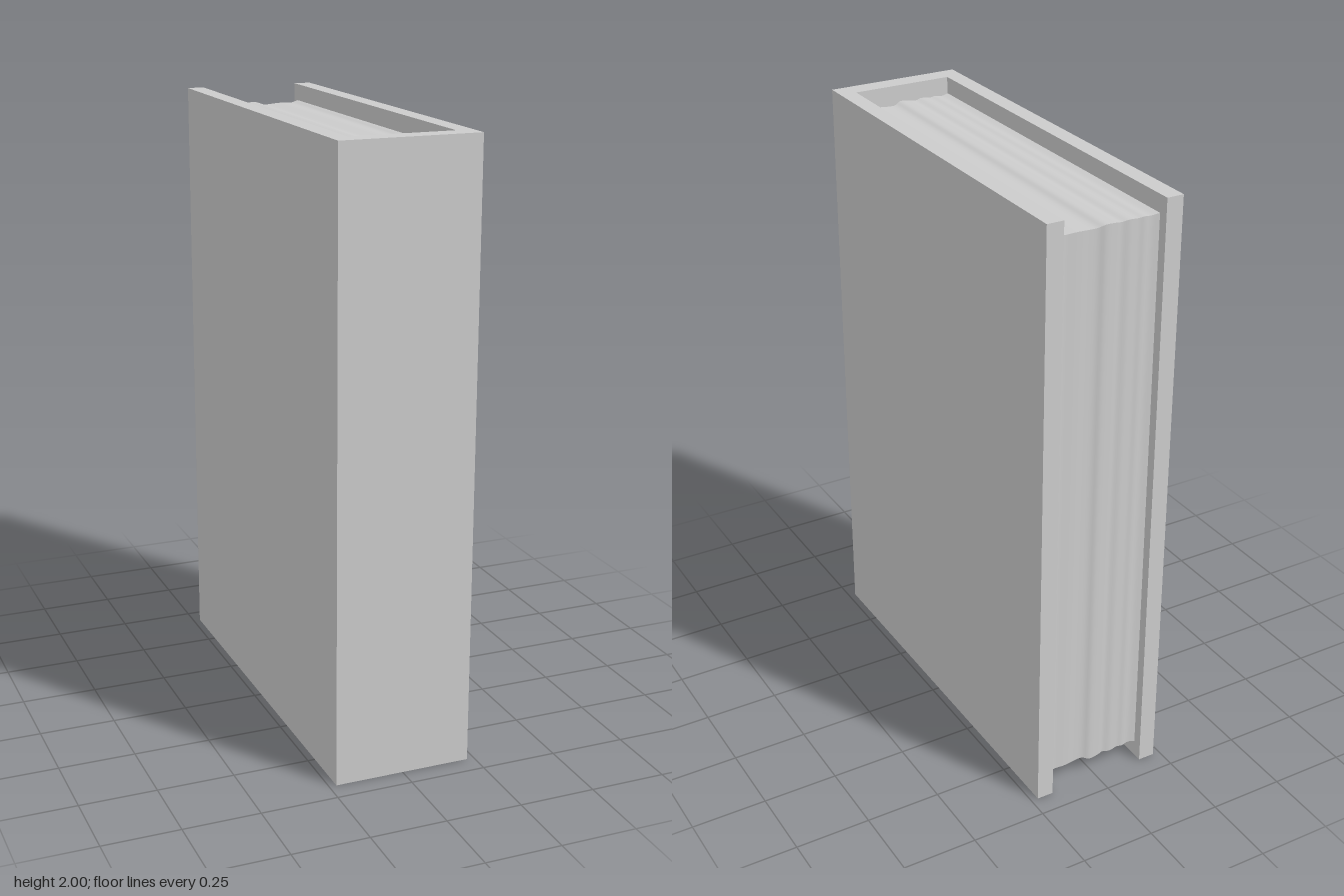
import * as THREE from 'three';

const HEIGHT = 2, HALF_W = 0.226, HALF_D = 0.68; // overall cover size
const INNER_W = 0.17, SPINE_IN = 0.614; // inside of the boards and the spine
const INSET = 0.055; // pages are shorter than the cover

// U-shaped cover: spine at the front, boards left and right
function makeCover() {
  const outline = [
    [-HALF_W, -HALF_D], [HALF_W, -HALF_D], [HALF_W, HALF_D], [INNER_W, HALF_D],
    [INNER_W, -SPINE_IN], [-INNER_W, -SPINE_IN], [-INNER_W, HALF_D], [-HALF_W, HALF_D],
  ].map(([x, y]) => new THREE.Vector2(x, y));
  const geometry = new THREE.ExtrudeGeometry(new THREE.Shape(outline), { depth: HEIGHT, bevelEnabled: false });
  return geometry.rotateX(-Math.PI / 2);
}

// Page block: a box whose top, bottom, front and back edges ripple across the thickness
function makePages() {
  const ripple = new THREE.SplineCurve([
    [-0.17, 0.001], [-0.145, 0.005], [-0.12, 0.002], [-0.1, 0.004], [-0.07, 0.001], [-0.045, 0.005],
    [-0.025, 0.002], [0.01, 0], [0.04, 0.009], [0.1, 0.006], [0.14, 0.007], [0.16, 0.003], [0.17, 0.001],
  ].map(([x, y]) => new THREE.Vector2(x, y)));
  const steps = 48;
  const samples = ripple.getPoints(steps);
  const zBack = -0.649, zFront = 0.613;
  const geometry = new THREE.BoxGeometry(2 * INNER_W, HEIGHT - 2 * INSET, zFront - zBack, steps, 1, 1);
  const pos = geometry.attributes.position;
  for (let i = 0; i < pos.count; i++) {
    const column = Math.round((pos.getX(i) / (2 * INNER_W) + 0.5) * steps);
    const { x, y: inset } = samples[column];
    pos.setXYZ(i, x,
      pos.getY(i) - Math.sign(pos.getY(i)) * inset,
      pos.getZ(i) - Math.sign(pos.getZ(i)) * inset);
  }
  geometry.computeVertexNormals();
  return geometry.translate(0, HEIGHT / 2, (zFront + zBack) / 2);
}

export function createModel() {
  const group = new THREE.Group();
  group.name = 'book';
  const material = new THREE.MeshStandardMaterial({ color: 0xcccccc });
  const parts = { cover: makeCover(), pages: makePages() };
  for (const [name, geometry] of Object.entries(parts)) {
    const mesh = new THREE.Mesh(geometry, material);
    mesh.name = name;
    group.add(mesh);
  }
  return group;
}
